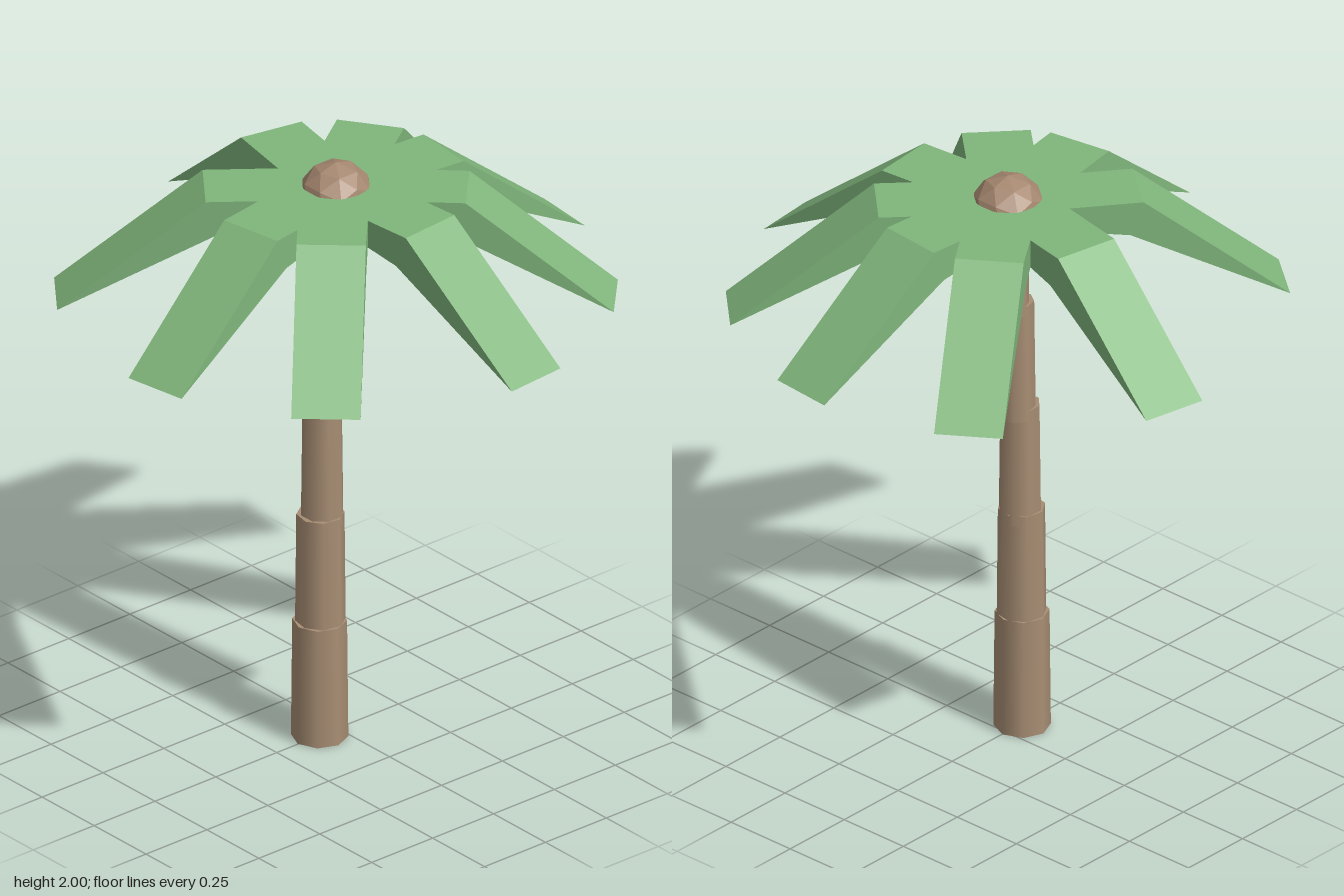
import * as THREE from 'three';

const bark = new THREE.MeshStandardMaterial({ color: 0xa88e74 });
bark.name = 'bark brown';
const husk = new THREE.MeshStandardMaterial({ color: 0xa5876f, flatShading: true });
husk.name = 'husk brown';
const leaf = new THREE.MeshStandardMaterial({ color: 0x80b67c, flatShading: true });
leaf.name = 'leaf green';

const CROWN_X = -0.003, CROWN_Z = -0.005;

// Frond side profile: flat top, bend, drooping wedge that ends in a sharp edge
function frondGeometry(width) {
  const profile = new THREE.Shape([
    [0, 1.87], [0.37, 1.811], [0.876, 1.555], [0.412, 1.925], [0, 1.925],
  ].map(([r, y]) => new THREE.Vector2(r, y)));
  const geometry = new THREE.ExtrudeGeometry(profile, { depth: width, bevelEnabled: false });
  return geometry.translate(0, 0, -width / 2);
}

export function createModel() {
  const model = new THREE.Group();
  model.name = 'palmTree';

  // Trunk: five tapering, overlapping sections that lean gently
  const trunk = new THREE.Group();
  trunk.name = 'trunk';
  const sections = [ // centre x, bottom radius, top radius
    [-0.072, 0.09, 0.086],
    [-0.069, 0.08, 0.076],
    [-0.062, 0.07, 0.065],
    [-0.046, 0.061, 0.056],
    [-0.027, 0.053, 0.048],
  ];
  sections.forEach(([x, bottom, top], i) => {
    const section = new THREE.Mesh(new THREE.CylinderGeometry(top, bottom, 0.41, 8), bark);
    section.name = `trunkSection${i + 1}`;
    section.position.set(x, 0.205 + i * 0.375, -0.002);
    section.rotation.y = i * 0.2;
    trunk.add(section);
  });
  model.add(trunk);

  // Fronds: one shape turned to slightly irregular angles
  const fronds = new THREE.Group();
  fronds.name = 'fronds';
  const geometry = frondGeometry(0.217);
  [5.2, 43.9, 84.9, 132.5, 170.6, 218, 281.2, 325.7].forEach((degrees, i) => {
    const frond = new THREE.Mesh(geometry, leaf);
    frond.name = `frond${i + 1}`;
    frond.position.set(CROWN_X, 0, CROWN_Z);
    frond.rotation.y = -THREE.MathUtils.degToRad(degrees);
    fronds.add(frond);
  });
  model.add(fronds);

  // Faceted ball at the crown
  const ball = new THREE.Mesh(new THREE.IcosahedronGeometry(0.12, 1), husk);
  ball.name = 'crownBall';
  ball.position.set(CROWN_X, 1.88, CROWN_Z);
  model.add(ball);

  return model;
}
